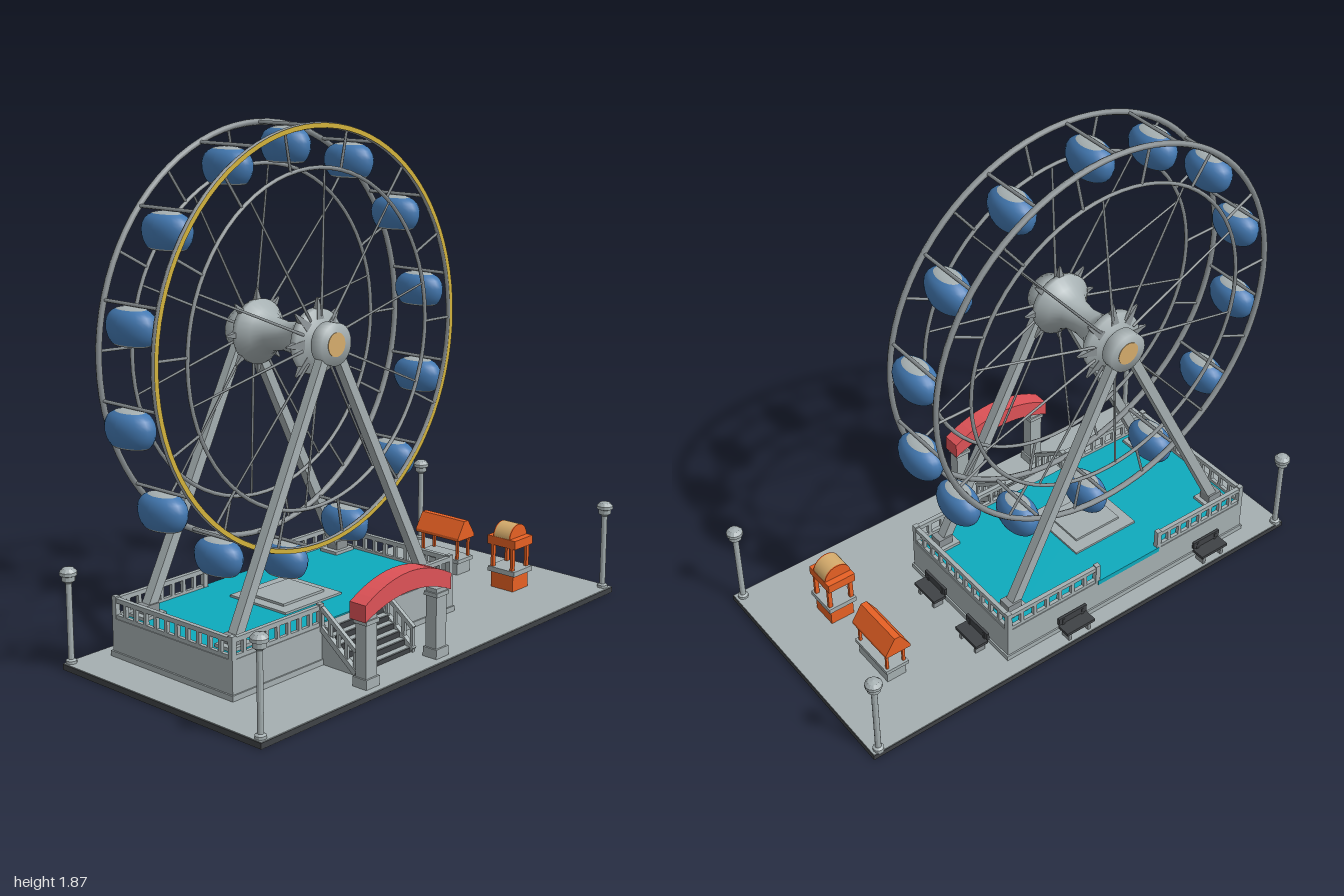
import * as THREE from 'three';

const mat = (name, color) => {
  const m = new THREE.MeshStandardMaterial({ color });
  m.name = name;
  return m;
};

export function createModel() {
  const stone = mat('stone grey', 0xa5afb1), steel = mat('steel grey', 0x8b9295);
  const dark = mat('charcoal', 0x3f4245), teal = mat('teal', 0x0daabd);
  const blue = mat('cabin blue', 0x4379b2), orange = mat('orange', 0xe86124);
  const red = mat('arch red', 0xde5257), tan = mat('tan', 0xd6ac6c), gold = mat('gold', 0xd2b23c);

  const root = new THREE.Group();
  root.name = 'ferrisWheelPark';
  const group = (name, parent = root) => {
    const g = new THREE.Group();
    g.name = name;
    parent.add(g);
    return g;
  };
  const add = (parent, name, geo, m, x = 0, y = 0, z = 0) => {
    const mesh = new THREE.Mesh(geo, m);
    mesh.name = name;
    mesh.position.set(x, y, z);
    parent.add(mesh);
    return mesh;
  };
  // Box given by its minimum and maximum on each axis
  const box = (p, name, m, x0, x1, y0, y1, z0, z1) =>
    add(p, name, new THREE.BoxGeometry(x1 - x0, y1 - y0, z1 - z0), m, (x0 + x1) / 2, (y0 + y1) / 2, (z0 + z1) / 2);
  // Round or square bar between two points
  const bar = (p, name, m, a, b, r, sides = 6, r2 = r) => {
    const A = new THREE.Vector3(...a), B = new THREE.Vector3(...b), d = B.clone().sub(A);
    const geo = new THREE.CylinderGeometry(r2, r, d.length(), sides);
    if (sides === 4) geo.rotateY(Math.PI / 4);
    const mesh = add(p, name, sides === 4 ? geo.toNonIndexed() : geo, m);
    if (sides === 4) mesh.geometry.computeVertexNormals();
    mesh.position.copy(A).add(B).multiplyScalar(0.5);
    mesh.quaternion.setFromUnitVectors(new THREE.Vector3(0, 1, 0), d.normalize());
    return mesh;
  };

  // Ground slab
  const ground = group('ground');
  box(ground, 'groundUnderside', steel, -0.953, 0.993, 0, 0.004, -0.483, 0.483);
  box(ground, 'groundSlab', dark, -0.955, 0.995, 0.002, 0.022, -0.485, 0.485);
  box(ground, 'paving', stone, -0.953, 0.993, 0.02, 0.025, -0.483, 0.483);

  // Corner lamps
  const lampProfile = [[0, 0.02], [0.02, 0.02], [0.02, 0.035], [0.011, 0.04], [0.011, 0.315], [0.024, 0.325],
    [0.024, 0.342], [0.031, 0.345], [0.031, 0.357], [0.02, 0.369], [0, 0.374]].map(p => new THREE.Vector2(...p));
  for (const x of [-0.93, 0.965]) for (const z of [-0.468, 0.458])
    add(root, 'lampPost', new THREE.LatheGeometry(lampProfile, 12).toNonIndexed(), stone, x, 0, z).geometry.computeVertexNormals();

  // Raised platform
  const X0 = -0.79, X1 = 0.36, Z0 = -0.41, Z1 = 0.19, GX0 = -0.36, GX1 = -0.06, TOP = 0.165;
  const platform = group('platform');
  box(platform, 'platformWall', stone, X0, X1, 0.02, TOP, Z0, Z1);
  box(platform, 'platformPlinth', stone, X0 - 0.006, X1 + 0.006, 0.02, 0.045, Z0 - 0.006, Z1 + 0.006);
  box(platform, 'platformFloor', teal, X0 + 0.02, X1 - 0.02, TOP, TOP + 0.005, Z0 + 0.02, Z1 - 0.02);
  box(platform, 'floorBackEdge', teal, GX0, GX1, TOP - 0.015, TOP + 0.005, Z0 - 0.002, Z0 + 0.02);
  box(platform, 'boardingSlab', stone, -0.375, -0.085, TOP, 0.178, -0.25, 0.03);
  box(platform, 'boardingStep', stone, -0.335, -0.125, 0.178, 0.187, -0.2, -0.02);

  // Railings, open at the middle of front and back
  const rail = (x0, z0, x1, z1) => {
    const g = group('railing', platform), n = Math.round(Math.hypot(x1 - x0, z1 - z0) / 0.055);
    bar(g, 'handrail', stone, [x0, 0.232, z0], [x1, 0.232, z1], 0.012, 4);
    bar(g, 'footRail', stone, [x0, 0.172, z0], [x1, 0.172, z1], 0.01, 4);
    for (let i = 0; i <= n; i++) {
      const x = x0 + (x1 - x0) * i / n, z = z0 + (z1 - z0) * i / n, end = i === 0 || i === n;
      const r = end ? 0.01 : 0.007;
      box(g, 'baluster', stone, x - r, x + r, TOP, end ? 0.246 : 0.23, z - r, z + r);
    }
  };
  const a = X0 + 0.01, b = X1 - 0.01, c = Z0 + 0.01, d = Z1 - 0.01;
  for (const z of [c, d]) {
    rail(a, z, GX0, z);
    rail(GX1, z, b, z);
  }
  rail(a, c, a, d);
  rail(b, c, b, d);

  // Entrance stairs
  const stairs = group('stairs');
  const steps = 6;
  for (let i = 0; i < steps; i++) {
    const z = 0.34 - i * 0.025, y = 0.02 + (i + 1) * 0.145 / steps;
    box(stairs, 'step', stone, GX0, GX1, 0.02, y, Z1 - 0.01, z);
    box(stairs, 'riser', dark, GX0 + 0.01, GX1 - 0.01, y - 0.023, y - 0.003, z, z + 0.003);
  }
  for (const x of [GX0, GX1]) {
    bar(stairs, 'stairRail', stone, [x, 0.232, Z1], [x, 0.115, 0.35], 0.011, 4);
    bar(stairs, 'stairStringer', stone, [x, 0.16, Z1], [x, 0.035, 0.35], 0.014, 4);
    for (let i = 0; i < 5; i++) {
      const t = i / 4, z = Z1 + 0.155 * t;
      box(stairs, 'stairBaluster', stone, x - 0.006, x + 0.006, 0.15 - 0.125 * t, 0.23 - 0.115 * t, z - 0.006, z + 0.006);
    }
  }

  // Entrance arch
  const arch = group('entranceArch');
  for (const x of [-0.398, -0.03]) {
    box(arch, 'archPillar', stone, x - 0.028, x + 0.028, 0.02, 0.28, 0.403, 0.45);
    box(arch, 'pillarBase', stone, x - 0.034, x + 0.034, 0.02, 0.06, 0.396, 0.457);
    box(arch, 'pillarCap', stone, x - 0.033, x + 0.033, 0.25, 0.265, 0.397, 0.456);
  }
  const beam = new THREE.Shape();
  beam.moveTo(-0.225, 0.265);
  beam.quadraticCurveTo(0, 0.37, 0.225, 0.265);
  beam.lineTo(0.225, 0.325);
  beam.quadraticCurveTo(0, 0.45, -0.225, 0.325);
  beam.closePath();
  add(arch, 'archBeam', new THREE.ExtrudeGeometry(beam, { depth: 0.07, bevelEnabled: false, curveSegments: 12 }), red, -0.215, 0, 0.39);

  // Support legs
  const CX = -0.213, CY = 1.122, CZ = -0.11;
  const supports = group('supports');
  for (const s of [-1, 1]) for (const x of [-0.7, 0.28]) {
    const z = CZ + s * 0.216, k = Math.sign(x - CX);
    box(supports, 'footPlate', stone, x - 0.05, x + 0.05, TOP, 0.182, z - 0.042, z + 0.042);
    box(supports, 'footBlock', steel, x - 0.027, x + 0.033, 0.18, 0.215, z - 0.026, z + 0.026);
    bar(supports, 'leg', stone, [x, 0.19, z], [CX + k * 0.03, CY - 0.03, CZ + s * 0.205], 0.027, 4, 0.024);
  }

  // Wheel, built around its own axle along z
  const wheel = group('wheel');
  wheel.position.set(CX, CY, CZ);
  const W = 0.134, R = 0.737, RI = 0.595, DEG = Math.PI / 180;
  const hubProfile = [[0, -0.235], [0.075, -0.235], [0.075, -0.185], [0.055, -0.18], [0.06, -0.165], [0.115, -0.155],
    [0.118, -0.13], [0.085, -0.1], [0.06, -0.06], [0.052, 0]];
  const full = hubProfile.concat(hubProfile.slice(0, -1).reverse().map(([r, y]) => [r, -y]));
  const hubGeo = new THREE.LatheGeometry(full.map(p => new THREE.Vector2(...p)), 28).rotateX(Math.PI / 2);
  add(wheel, 'hub', hubGeo, stone);
  const polar = (r, t, z) => [r * Math.sin(t), r * Math.cos(t), z];
  for (const s of [-1, 1]) {
    add(wheel, 'hubCap', new THREE.CylinderGeometry(0.043, 0.043, 0.004, 20).rotateX(Math.PI / 2), tan, 0, 0, s * 0.235);
    add(wheel, 'outerRing', new THREE.TorusGeometry(R, 0.0115, 6, 84), steel, 0, 0, s * W);
    add(wheel, 'innerRing', new THREE.TorusGeometry(RI, 0.0075, 6, 70), steel, 0, 0, s * W);
    for (let i = 0; i < 10; i++) {
      const t = (5 + i * 36) * DEG;
      bar(wheel, 'spoke', steel, polar(0.09, t, s * (W + 0.025)), polar(RI, t, s * W), 0.0055, 5, 0.004);
    }
    for (let i = 0; i < 8; i++) {
      const t = i * Math.PI / 4;
      bar(wheel, 'hubFin', steel, polar(0.08, t, s * (W + 0.012)), polar(0.155, t, s * (W + 0.012)), 0.024, 4, 0.004);
    }
  }
  add(wheel, 'goldTrim', new THREE.RingGeometry(R - 0.0085, R + 0.0085, 84), gold, 0, 0, W + 0.0118);

  // Cabin shell: a squared-off ellipsoid cut flat below, in three bands
  const cabinBand = (t0, t1) => {
    const g = new THREE.SphereGeometry(1, 24, 8, 0, Math.PI * 2, t0, t1 - t0), p = g.attributes.position;
    const soft = (v, e) => Math.sign(v) * Math.abs(v) ** e;
    for (let i = 0; i < p.count; i++) {
      const y = p.getY(i), h = Math.hypot(p.getX(i), p.getZ(i)) || 1;
      const k = Math.min(h, 1) ** (y < 0 ? 0.4 : 0.7) / h * (y < 0 ? 1 + 0.1 * y : 1);
      p.setXYZ(i, p.getX(i) * k * 0.064, Math.max(soft(y, 0.9) * 0.066, -0.057), p.getZ(i) * k * 0.106);
    }
    g.computeVertexNormals();
    return g;
  };
  const roofGeo = cabinBand(0, 0.48), shellGeo = cabinBand(0.48, 2.42), floorGeo = cabinBand(2.42, Math.PI);

  for (let i = 0; i < 14; i++) {
    const t = i * 26 * DEG, m = t + (i < 13 ? 13 : 11) * DEG;
    // Struts between cabins and the axle that carries each cabin
    for (const s of [-1, 1]) bar(wheel, 'ringStrut', steel, polar(RI, m, s * W), polar(R, m, s * W), 0.0055, 5);
    bar(wheel, 'cabinAxle', steel, polar(R, t, -W), polar(R, t, W), 0.0065, 6);
    // Hanging cabin
    const cabin = group('cabin', wheel);
    const [x, y] = polar(R, t, 0);
    cabin.position.set(x, y - 0.073, 0);
    add(cabin, 'cabinRoof', roofGeo, stone);
    add(cabin, 'cabinShell', shellGeo, blue);
    add(cabin, 'cabinFloor', floorGeo, stone);
  }

  // Ticket booth with a barrel roof
  const booth = group('ticketBooth');
  box(booth, 'boothBase', orange, 0.678, 0.775, 0.02, 0.09, 0.13, 0.235);
  box(booth, 'boothCounter', stone, 0.668, 0.785, 0.09, 0.11, 0.12, 0.248);
  for (const x of [0.673, 0.764]) for (const z of [0.13, 0.223])
    box(booth, 'boothPost', orange, x, x + 0.016, 0.11, 0.205, z, z + 0.012);
  box(booth, 'boothLintel', orange, 0.67, 0.783, 0.2, 0.235, 0.115, 0.248);
  const vault = (name, m, r, z0, z1) => {
    const g = new THREE.CylinderGeometry(r, r, z1 - z0, 18, 1, false, Math.PI / 2, Math.PI).rotateX(Math.PI / 2);
    add(booth, name, g, m, 0.7265, 0.231, (z0 + z1) / 2);
  };
  vault('barrelRoof', tan, 0.055, 0.146, 0.216);
  vault('roofEnd', orange, 0.055, 0.216, 0.221);
  vault('roofEnd', orange, 0.055, 0.141, 0.146);

  // Snack stall with a gable roof
  const stall = group('snackStall');
  box(stall, 'stallBase', stone, 0.69, 0.77, 0.02, 0.075, -0.235, -0.05);
  box(stall, 'stallCounter', stone, 0.682, 0.778, 0.075, 0.09, -0.245, -0.04);
  for (const x of [0.69, 0.76]) for (const z of [-0.235, -0.06])
    box(stall, 'stallPost', orange, x, x + 0.01, 0.09, 0.18, z, z + 0.01);
  const gable = new THREE.Shape([[-0.052, 0.17], [0.052, 0.17], [0.052, 0.182], [0.012, 0.245], [-0.012, 0.245], [-0.052, 0.182]]
    .map(p => new THREE.Vector2(...p)));
  add(stall, 'gableRoof', new THREE.ExtrudeGeometry(gable, { depth: 0.217, bevelEnabled: false }), orange, 0.73, 0, -0.255);

  // Benches, each facing +z before turning
  const bench = (x, z, turn) => {
    const g = group('bench');
    g.position.set(x, 0, z);
    g.rotation.y = turn;
    box(g, 'benchSeat', dark, -0.065, 0.065, 0.062, 0.074, -0.025, 0.03);
    box(g, 'benchBack', dark, -0.065, 0.065, 0.078, 0.108, -0.03, -0.02);
    for (const s of [-0.045, 0.045]) {
      box(g, 'benchLeg', steel, s - 0.006, s + 0.006, 0.02, 0.062, -0.02, 0.022);
      box(g, 'benchBracket', dark, s - 0.005, s + 0.005, 0.06, 0.1, -0.028, -0.018);
    }
  };
  bench(-0.59, -0.452, Math.PI);
  bench(0.075, -0.452, Math.PI);
  bench(0.415, -0.265, Math.PI / 2);
  bench(0.405, 0.015, Math.PI / 2);

  return root;
}
